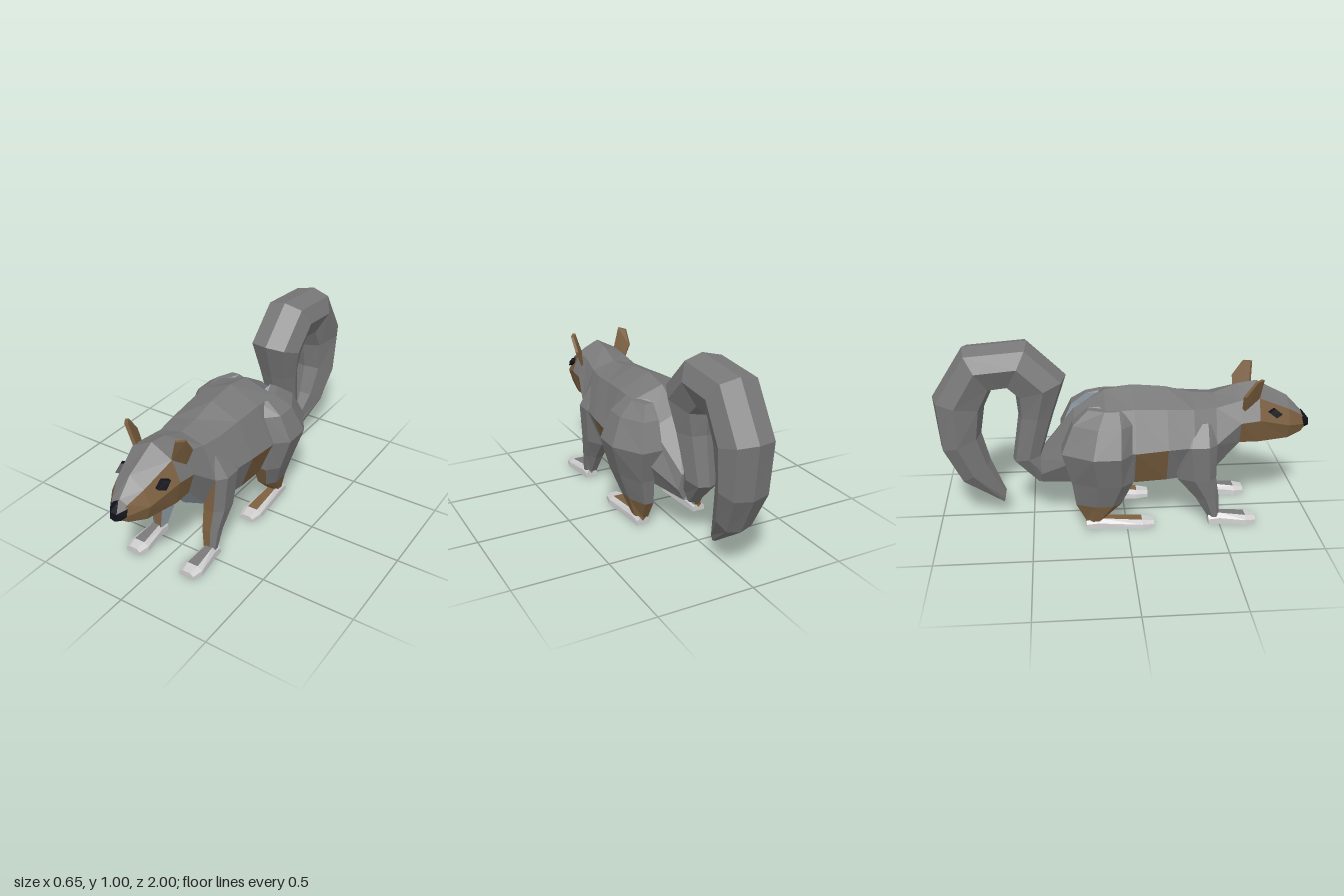
import * as THREE from 'three';
import { ConvexGeometry } from 'three/addons/geometries/ConvexGeometry.js';

const mat = (color) => new THREE.MeshStandardMaterial({ color, flatShading: true });
const paint = {
  fur: mat(0x787878), brown: mat(0x7c6040), belly: mat(0x99a5ae),
  paw: mat(0xcccccc), black: mat(0x11111a),
};

// Skins a list of equal-sized rings of [x, y, z]; colorOf(i, j) picks the paint of
// each band and side. Ends are closed, and faces are turned outwards.
function loft(name, rings, colorOf) {
  const V = rings.map((r) => r.map((p) => new THREE.Vector3(...p)));
  const n = V[0].length, tris = [];
  const center = (r) => r.reduce((s, p) => s.add(p), new THREE.Vector3()).divideScalar(n);
  for (let i = 0; i < V.length - 1; i++) {
    for (let j = 0; j < n; j++) {
      const k = (j + 1) % n, c = colorOf(i, j);
      tris.push([c, V[i][j], V[i][k], V[i + 1][k]], [c, V[i][j], V[i + 1][k], V[i + 1][j]]);
    }
  }
  const last = V.length - 1, c0 = center(V[0]), c1 = center(V[last]);
  for (let j = 0; j < n; j++) {
    const k = (j + 1) % n;
    tris.push([colorOf(0, j), c0, V[0][k], V[0][j]]);
    tris.push([colorOf(last - 1, j), c1, V[last][j], V[last][k]]);
  }
  const cross = new THREE.Vector3();
  const volume = tris.reduce((s, [, a, b, c]) => s + a.dot(cross.crossVectors(b, c)), 0);
  const byColor = {};
  for (const [color, a, b, c] of tris) {
    const list = (byColor[color] ??= []);
    for (const p of volume > 0 ? [a, b, c] : [a, c, b]) list.push(p.x, p.y, p.z);
  }
  const group = new THREE.Group();
  group.name = name;
  for (const [color, list] of Object.entries(byColor)) {
    const geo = new THREE.BufferGeometry();
    geo.setAttribute('position', new THREE.Float32BufferAttribute(list, 3));
    geo.computeVertexNormals();
    const mesh = new THREE.Mesh(geo, paint[color]);
    mesh.name = `${name} ${color}`;
    group.add(mesh);
  }
  return group;
}

function convex(name, points, color) {
  const mesh = new THREE.Mesh(new ConvexGeometry(points.map((p) => new THREE.Vector3(...p))), paint[color]);
  mesh.name = name;
  return mesh;
}

const lerp = THREE.MathUtils.lerp;

// Head and trunk: z, top y, upper x y, side x y, lower x y, bottom y
function makeBody() {
  const sections = [
    [0.98, 0.53, 0.03, 0.525, 0.035, 0.505, 0.025, 0.485, 0.48],
    [0.95, 0.575, 0.045, 0.56, 0.06, 0.51, 0.045, 0.465, 0.455],
    [0.87, 0.66, 0.08, 0.61, 0.115, 0.53, 0.09, 0.45, 0.43],
    [0.70, 0.75, 0.115, 0.69, 0.16, 0.58, 0.13, 0.45, 0.41],
    [0.60, 0.735, 0.115, 0.68, 0.165, 0.57, 0.13, 0.45, 0.40],
    [0.47, 0.685, 0.13, 0.65, 0.20, 0.47, 0.13, 0.30, 0.255],
    [0.35, 0.695, 0.15, 0.65, 0.23, 0.47, 0.15, 0.27, 0.235],
    [0.21, 0.73, 0.16, 0.66, 0.25, 0.47, 0.18, 0.27, 0.22],
    [0.04, 0.745, 0.17, 0.67, 0.26, 0.46, 0.18, 0.26, 0.18],
    [-0.11, 0.72, 0.17, 0.66, 0.25, 0.46, 0.17, 0.26, 0.18],
    [-0.27, 0.62, 0.14, 0.56, 0.20, 0.40, 0.13, 0.25, 0.185],
    [-0.45, 0.38, 0.07, 0.36, 0.09, 0.28, 0.06, 0.22, 0.20],
  ];
  const rings = sections.map(([z, top, ux, uy, sx, sy, lx, ly, low]) => [
    [0, top, z], [ux, uy, z], [sx, sy, z], [lx, ly, z],
    [0, low, z], [-lx, ly, z], [-sx, sy, z], [-ux, uy, z],
  ]);
  return loft('body', rings, (i, j) => {
    const band = Math.min(j, 7 - j);
    if (band === 0) return 'fur';
    if (band === 3) return 'belly';
    if (i < 4) return i === 3 && band === 1 ? 'fur' : 'brown';
    return i === 7 && band === 2 ? 'brown' : 'fur';
  });
}

// Tail: front/outer edge z y, inner edge z y, half width
function makeTail() {
  const sections = [
    [-0.38, 0.27, -0.47, 0.20, 0.05], [-0.44, 0.38, -0.60, 0.34, 0.085],
    [-0.375, 0.60, -0.56, 0.60, 0.11], [-0.305, 0.81, -0.57, 0.71, 0.14],
    [-0.50, 1.00, -0.62, 0.755, 0.14], [-0.83, 0.975, -0.69, 0.745, 0.14],
    [-1.00, 0.71, -0.735, 0.65, 0.14], [-0.975, 0.43, -0.76, 0.50, 0.13],
    [-0.88, 0.23, -0.72, 0.34, 0.095], [-0.66, 0.075, -0.645, 0.15, 0.02],
  ];
  const rings = sections.map(([oz, oy, iz, iy, w]) => {
    const at = (x, t) => [x * w, lerp(oy, iy, t), lerp(oz, iz, t)];
    return [at(0, 0), at(0.72, 0.1), at(1, 0.45), at(0.65, 0.9),
      at(0, 1), at(-0.65, 0.9), at(-1, 0.45), at(-0.72, 0.1)];
  });
  return loft('tail', rings, () => 'fur');
}

// Leg: y, inner x, outer x, front z, back z
function makeLeg(name, side, sections, colorOf) {
  const rings = sections.map(([y, xi, xo, zf, zb]) =>
    [[0, 0], [0.6, 0], [1, 0.2], [1, 0.58], [0.55, 1], [0, 1]]
      .map(([u, v]) => [side * lerp(xi, xo, u), y, lerp(zf, zb, v)]));
  return loft(name, rings, colorOf);
}

// Paw: z, half width, height
function makePaw(name, side, sections, topColor) {
  const x = 0.17;
  const rings = sections.map(([z, w, h]) =>
    [[-1, 0], [-0.95, 0.6], [-0.5, 1], [0.5, 1], [0.95, 0.6], [1, 0]]
      .map(([u, v]) => [side * (x + u * w), v * h, z]));
  return loft(name, rings, (i, j) => (j === 2 && i < sections.length - 2 ? topColor : 'paw'));
}

export function createModel() {
  const model = new THREE.Group();
  model.name = 'squirrel';
  model.add(makeBody(), makeTail());

  // Nose
  const nose = [];
  for (const s of [-1, 1]) {
    nose.push([s * 0.05, 0.545, 0.955], [s * 0.05, 0.505, 0.965], [s * 0.025, 0.48, 0.975],
      [s * 0.018, 0.525, 0.997], [s * 0.02, 0.49, 1.0]);
  }
  nose.push([0, 0.575, 0.957], [0, 0.48, 0.997]);
  model.add(convex('nose', nose, 'black'));

  for (const s of [-1, 1]) {
    const label = s > 0 ? 'left' : 'right';

    // Ears: thin leaves leaning outwards
    const earRim = [[0.115, 0.69, 0.70], [0.15, 0.805, 0.71], [0.178, 0.80, 0.67],
      [0.175, 0.72, 0.615], [0.135, 0.62, 0.62]];
    const ear = earRim.flatMap(([x, y, z]) => [[s * x, y, z], [s * (x - 0.012), y, z - 0.012]]);
    model.add(convex(`${label} ear`, ear, 'brown'));

    // Eyes: flat diamonds on the cheeks
    const eyeRim = [[0.128, 0.60, 0.825], [0.125, 0.632, 0.785], [0.146, 0.618, 0.75], [0.147, 0.587, 0.79]];
    const eye = eyeRim.flatMap(([x, y, z]) => [[s * x, y, z], [s * (x - 0.035), y, z - 0.01]]);
    model.add(convex(`${label} eye`, eye, 'black'));

    // Front legs and paws
    model.add(makeLeg(`${label} front leg`, s, [
      [0.58, 0.11, 0.17, 0.46, 0.28], [0.47, 0.14, 0.24, 0.472, 0.23],
      [0.27, 0.125, 0.225, 0.475, 0.27], [0.15, 0.13, 0.208, 0.495, 0.37],
      [0.04, 0.14, 0.20, 0.50, 0.435],
    ], (i, j) => (j === 0 ? 'brown' : j === 5 ? 'belly' : 'fur')));
    model.add(makePaw(`${label} front paw`, s,
      [[0.44, 0.035, 0.045], [0.50, 0.04, 0.06], [0.64, 0.06, 0.045], [0.695, 0.045, 0.035]], 'fur'));

    // Haunches, hind legs and paws
    model.add(makeLeg(`${label} hind leg`, s, [
      [0.665, 0.10, 0.18, 0.0, -0.2], [0.60, 0.11, 0.262, 0.025, -0.28],
      [0.46, 0.12, 0.325, 0.035, -0.34], [0.28, 0.14, 0.272, 0.03, -0.29],
      [0.14, 0.135, 0.225, -0.03, -0.27], [0.04, 0.14, 0.20, -0.13, -0.22],
    ], (i, j) => (j === 5 ? 'belly' : i > 3 || (i === 3 && j === 0) ? 'brown' : 'fur')));
    model.add(makePaw(`${label} hind paw`, s,
      [[-0.22, 0.035, 0.04], [-0.15, 0.04, 0.055], [0.08, 0.058, 0.04], [0.145, 0.042, 0.03]], 'brown'));
  }
  return model;
}
